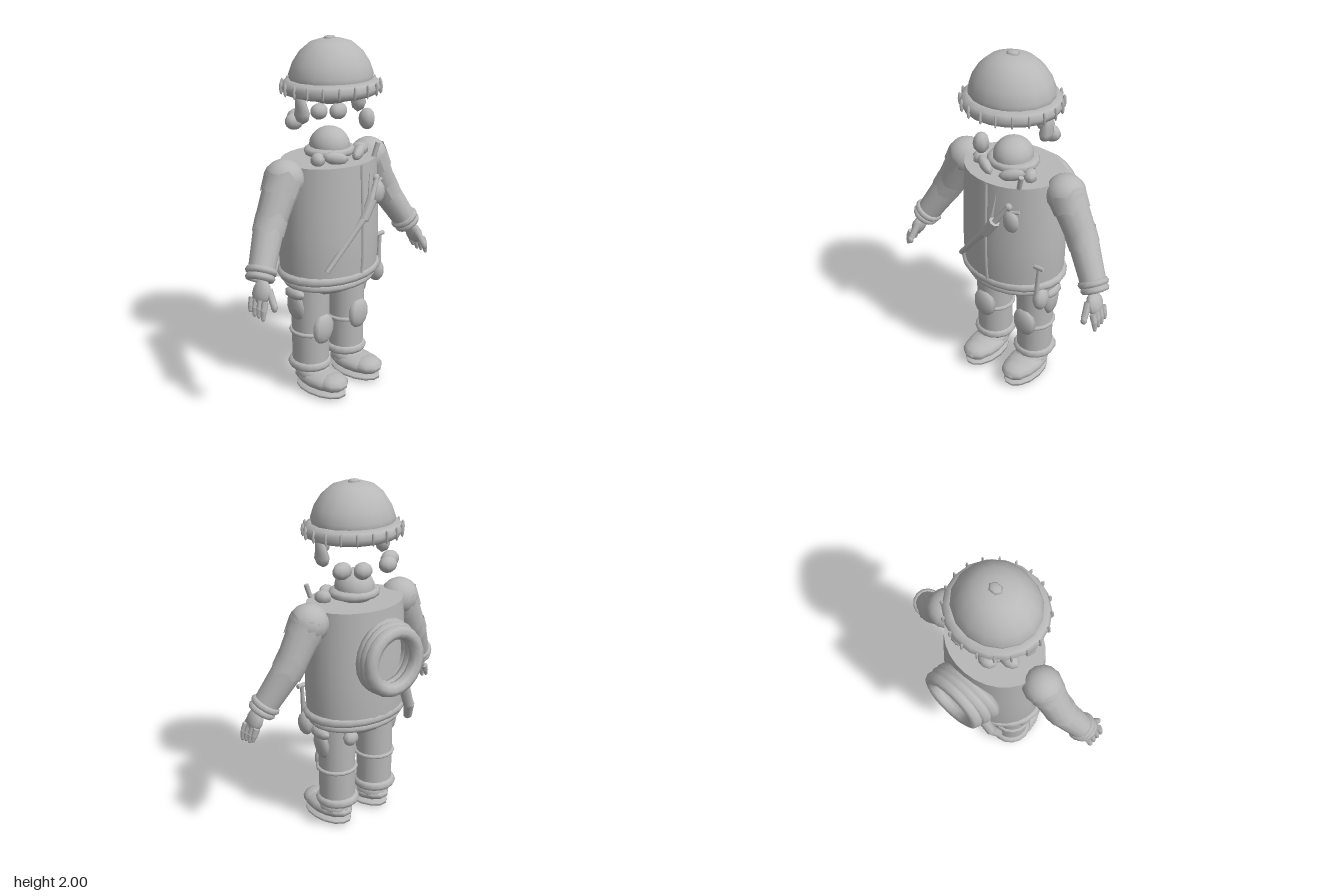
import * as THREE from 'three';

const grey = new THREE.MeshStandardMaterial({ color: 0xb8b8b8, side: THREE.DoubleSide });
grey.name = 'clay grey';
const V = (x, y, z) => new THREE.Vector3(x, y, z);

function add(parent, name, geo, pos = [0, 0, 0]) {
  const m = new THREE.Mesh(geo, grey);
  m.name = name;
  m.position.set(...pos);
  parent.add(m);
  return m;
}

// Ellipsoid with few sides
function blob(parent, name, pos, r, w = 12, h = 8) {
  return add(parent, name, new THREE.SphereGeometry(1, w, h).scale(...r), pos);
}

// Horizontal oval ring; rx and rz are the outer radii, t the tube radius
function ring(parent, name, pos, rx, rz, t, ty = t, n = 20) {
  const geo = new THREE.TorusGeometry(1 - t / rx, t / rx, 8, n).rotateX(Math.PI / 2);
  return add(parent, name, geo.scale(rx, ty / (t / rx), rz), pos);
}

// Tapered round bar between two points; jag makes the rim at b ragged
function limb(parent, name, a, b, ra, rb, n = 14, jag = 0, open = false) {
  const d = b.clone().sub(a), len = d.length();
  const geo = new THREE.CylinderGeometry(rb, ra, len, n, 1, open);
  if (jag) {
    const p = geo.attributes.position;
    for (let i = 0; i < p.count; i++) {
      const k = Math.round(Math.atan2(p.getX(i), p.getZ(i)) / (Math.PI * 2) * n);
      p.setY(i, p.getY(i) + jag * Math.sin(k * 2.3) + jag * 0.5 * Math.cos(k * 1.2 + 1));
    }
    geo.computeVertexNormals();
  }
  const m = add(parent, name, geo);
  m.position.copy(a).add(b).multiplyScalar(0.5);
  m.quaternion.setFromUnitVectors(V(0, 1, 0), d.normalize());
  return m;
}

function group(parent, name) {
  const g = new THREE.Group();
  g.name = name;
  parent.add(g);
  return g;
}

function buildHat(root) {
  const g = group(root, 'hat');
  const profile = [[0, 1.64], [0.07, 1.65], [0.13, 1.67], [0.19, 1.7], [0.232, 1.75], [0.236, 1.8], [0.215, 1.86],
    [0.175, 1.92], [0.12, 1.965], [0.06, 1.983], [0, 1.988]].map(p => new THREE.Vector2(...p));
  add(g, 'hatDome', new THREE.LatheGeometry(profile, 16).scale(1, 1, 0.92), [0, 0, 0.04]);
  ring(g, 'hatBand', [0, 1.735, 0.04], 0.275, 0.26, 0.045, 0.043, 18);
  blob(g, 'hatButton', [0, 1.985, 0.03], [0.04, 0.015, 0.032], 6, 4);
  // stitches around the band
  for (let i = 0; i < 20; i++) {
    const a = i / 20 * Math.PI * 2;
    const s = blob(g, 'stitch', [Math.sin(a) * 0.273, 1.735, 0.04 + Math.cos(a) * 0.258], [0.007, 0.038, 0.012], 5, 4);
    s.rotation.y = a;
  }
  // ear drops
  for (const s of [-1, 1]) {
    const drop = [[0, -0.075], [0.035, -0.055], [0.047, -0.02], [0.035, 0.025], [0.03, 0.07], [0, 0.08]]
      .map(p => new THREE.Vector2(...p));
    const e = add(g, 'earDrop', new THREE.LatheGeometry(drop, 8).scale(0.72, 1, 1.05), [s * 0.222, 1.635, 0.04]);
    e.rotation.z = s * -0.12;
  }
}

function buildHead(root) {
  const g = group(root, 'head');
  blob(g, 'nose', [0, 1.597, 0.295], [0.043, 0.057, 0.045], 7, 6);
  // hair beads behind
  for (const s of [-1, 1]) {
    blob(g, 'hairBead', [s * 0.172, 1.555, -0.065], [0.06, 0.047, 0.042], 9, 7);
    blob(g, 'hairBead', [s * 0.09, 1.555, -0.135], [0.055, 0.046, 0.045], 9, 7);
  }
  blob(g, 'neck', [0, 1.41, 0.03], [0.11, 0.105, 0.115], 14, 10);
  ring(g, 'collar', [0, 1.385, 0.03], 0.15, 0.135, 0.035, 0.025, 14);
  for (const s of [-1, 1]) {
    const l = blob(g, 'lapel', [s * 0.09, 1.375, 0.16], [0.075, 0.036, 0.03], 8, 6);
    l.rotation.set(0.3, s * 0.5, s * 0.08);
    const b = blob(g, 'lapelTip', [s * 0.165, 1.37, 0.1], [0.04, 0.04, 0.05], 7, 5);
    b.rotation.y = s * 0.6;
  }
}

function buildTorso(root) {
  const g = group(root, 'coat');
  const body = [[0.298, 0.7], [0.306, 0.82], [0.306, 0.95], [0.3, 1.12], [0.288, 1.345]];
  const wall = new THREE.LatheGeometry(body.map(p => new THREE.Vector2(...p)), 28);
  add(g, 'coatBody', wall.scale(1, 1, 0.82), [0, 0, 0.025]);
  const cap = new THREE.CircleGeometry(0.288, 28).rotateX(-Math.PI / 2).scale(1, 1, 0.82);
  add(g, 'coatTop', cap, [0, 1.345, 0.025]);
  ring(g, 'upperHem', [0, 0.712, 0.027], 0.325, 0.255, 0.032, 0.028, 22);
  ring(g, 'lowerHem', [0, 0.665, 0.027], 0.295, 0.235, 0.04, 0.025, 22);
  blob(g, 'pelvis', [0, 0.665, 0.02], [0.26, 0.1, 0.2], 16, 10);
  // front fastening follows the bulge
  const zip = [[0.73, 0.27], [0.82, 0.278], [0.95, 0.278], [1.12, 0.273], [1.34, 0.263]];
  const path = new THREE.CatmullRomCurve3(zip.map(p => V(0, ...p)));
  add(g, 'zip', new THREE.TubeGeometry(path, 12, 0.009, 5));
}

function buildArm(root, s) {
  const g = group(root, s > 0 ? 'leftArm' : 'rightArm');
  const sh = V(s * 0.34, 1.285, 0.02), el = V(s * 0.462, 1.06, 0.035), wr = V(s * 0.585, 0.855, 0.1);
  const on = (a, b, t) => a.clone().lerp(b, t);
  blob(g, 'shoulder', [s * 0.335, 1.285, 0.018], [0.112, 0.108, 0.108], 14, 10);
  limb(g, 'upperSleeve', sh, el, 0.098, 0.083);
  blob(g, 'elbow', el.toArray(), [0.083, 0.083, 0.083], 14, 10);
  limb(g, 'lowerSleeve', el, wr, 0.083, 0.07);
  // ragged patches at shoulder and elbow
  limb(g, 'shoulderPatch', on(sh, el, -0.05), on(sh, el, 0.32), 0.107, 0.1, 14, 0.016, true);
  limb(g, 'elbowPatch', on(sh, el, 0.82), on(el, wr, 0.14), 0.089, 0.086, 14, 0.018, true);
  // cuffs
  const dir = wr.clone().sub(el).normalize();
  for (const [t, r] of [[0.96, 0.066], [1.1, 0.06]]) {
    const c = add(g, 'cuff', new THREE.TorusGeometry(r, 0.02, 7, 14), on(el, wr, t).toArray());
    c.quaternion.setFromUnitVectors(V(0, 0, 1), dir);
  }
  // hand, fingers and thumb
  const palm = blob(g, 'palm', [s * 0.622, 0.77, 0.14], [0.035, 0.068, 0.06], 9, 7);
  palm.rotation.z = s * 0.35;
  for (let i = 0; i < 4; i++) {
    const z = 0.095 + i * 0.032, low = 0.665 - (i === 3 ? 0.008 : 0) + (i === 0 ? 0.015 : 0);
    const k = V(s * 0.645, 0.74, z), m = V(s * 0.66, 0.7, z + 0.006), t = V(s * 0.667, low, z + 0.008);
    limb(g, 'finger', k, m, 0.019, 0.017, 7);
    limb(g, 'fingerTip', m, t, 0.017, 0.012, 7);
    blob(g, 'fingerEnd', t.toArray(), [0.012, 0.016, 0.012], 6, 5);
  }
  limb(g, 'thumb', V(s * 0.605, 0.79, 0.175), V(s * 0.615, 0.72, 0.225), 0.022, 0.018, 7);
  blob(g, 'thumbEnd', [s * 0.616, 0.71, 0.23], [0.018, 0.025, 0.018], 7, 5);
}

function buildLeg(root, s) {
  const g = group(root, s > 0 ? 'leftLeg' : 'rightLeg');
  const x = s * 0.147;
  limb(g, 'trouser', V(x, 0.14, 0.022), V(x, 0.66, 0.022), 0.104, 0.11, 18);
  ring(g, 'kneeStrap', [x, 0.365, 0.022], 0.122, 0.122, 0.013, 0.012, 16);
  blob(g, 'kneePad', [x, 0.393, 0.122], [0.077, 0.09, 0.036], 9, 7);
  ring(g, 'bootCuff', [x, 0.163, 0.018], 0.127, 0.127, 0.04, 0.03, 16);
  // boot with ankle, toe cap and flat sole
  blob(g, 'boot', [x, 0.082, 0.105], [0.104, 0.055, 0.185], 14, 9);
  blob(g, 'bootAnkle', [x, 0.1, 0.05], [0.095, 0.06, 0.115], 12, 8);
  blob(g, 'toeCap', [x, 0.085, 0.2], [0.088, 0.05, 0.085], 10, 7);
  blob(g, 'sole', [x, 0.024, 0.105], [0.106, 0.024, 0.18], 14, 5);
}

function buildGear(root) {
  // tool slung across the chest
  const t = group(root, 'chestTool');
  limb(t, 'toolHandle', V(-0.225, 0.785, 0.225), V(0.01, 1.06, 0.285), 0.014, 0.02, 8);
  limb(t, 'toolNeck', V(0.0, 1.04, 0.283), V(0.065, 1.14, 0.28), 0.026, 0.032, 8);
  limb(t, 'toolArm', V(0.06, 1.13, 0.278), V(0.14, 1.25, 0.255), 0.018, 0.012, 7);
  limb(t, 'toolNeedle', V(0.045, 1.16, 0.28), V(0.065, 1.29, 0.265), 0.009, 0.003, 6);
  blob(t, 'toolKnob', [0.135, 1.24, 0.25], [0.024, 0.022, 0.02], 7, 5);
  blob(t, 'toolPouch', [0.15, 1.155, 0.25], [0.052, 0.065, 0.03], 8, 6);
  limb(t, 'toolPeg', V(0.1, 1.2, 0.262), V(0.195, 1.22, 0.235), 0.012, 0.01, 6);
  limb(root, 'collarPeg', V(0.165, 1.33, 0.2), V(0.19, 1.42, 0.212), 0.014, 0.014, 7);

  // hip pouch with a hammer, plus hanging bags
  const h = group(root, 'hipGear');
  limb(h, 'hammerHandle', V(0.262, 0.66, 0.17), V(0.275, 0.855, 0.165), 0.015, 0.011, 7);
  limb(h, 'hammerHead', V(0.243, 0.86, 0.165), V(0.306, 0.86, 0.165), 0.013, 0.013, 7);
  blob(h, 'hipPouch', [0.272, 0.635, 0.14], [0.042, 0.07, 0.055], 9, 7);
  for (const s of [-1, 1]) {
    const bag = blob(h, 'hangingBag', [s * 0.262, 0.54, 0.02], [0.028, 0.09, 0.062], 7, 6);
    bag.rotation.z = s * -0.12;
    blob(h, 'bagFlap', [s * 0.268, 0.615, 0.02], [0.034, 0.035, 0.075], 8, 5);
  }
  blob(h, 'backPocket', [0.17, 0.605, -0.125], [0.05, 0.045, 0.035], 8, 6);

  // coil carried on the back, with a loose end
  const c = group(root, 'backCoil');
  [[-0.01, 0.173, -0.21], [0, 0.17, -0.253], [0.012, 0.162, -0.298]].forEach(([x, r, z], i) => {
    const m = add(c, 'coil', new THREE.TorusGeometry(r, 0.04, 8, 20), [x, 1.075, z]);
    m.rotation.set(0.03 * (i - 1), 0.04 * (1 - i), i);
  });
  limb(c, 'coilEnd', V(-0.11, 0.93, -0.235), V(-0.185, 0.73, -0.22), 0.034, 0.03, 9);
  limb(c, 'coilTip', V(-0.185, 0.74, -0.222), V(-0.215, 0.64, -0.185), 0.032, 0.025, 9);
}

export function createModel() {
  const root = new THREE.Group();
  root.name = 'bundledFigure';
  buildHat(root);
  buildHead(root);
  buildTorso(root);
  for (const s of [-1, 1]) {
    buildArm(root, s);
    buildLeg(root, s);
  }
  buildGear(root);
  return root;
}
